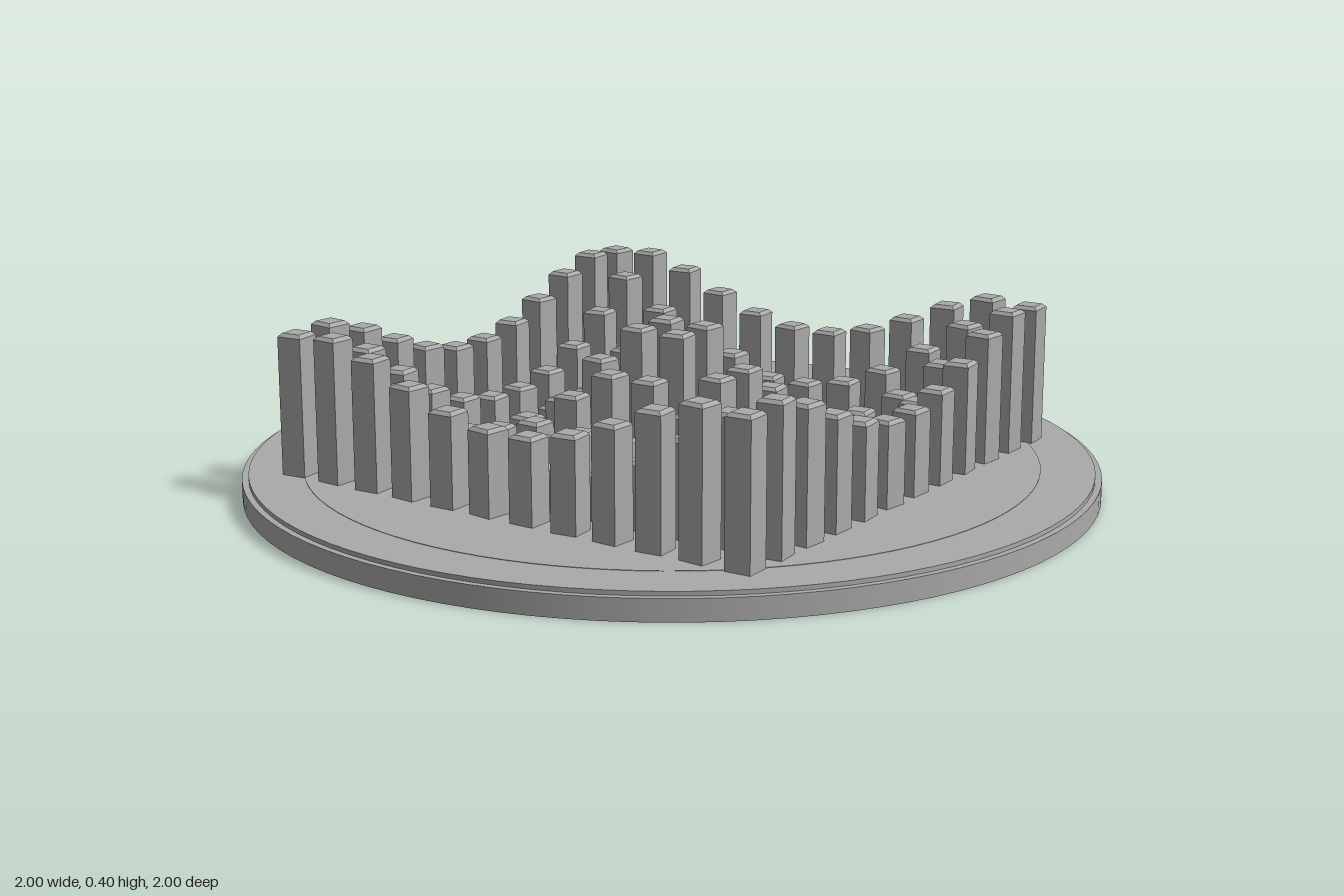
import * as THREE from 'three';

const COUNT = 12, SPACING = 0.111, WIDTH = 0.062, DECK = 0.06;

// Ripple spreading from the centre: pillar top height at radius r
const rippleHeight = (r) => 0.257 + 0.145 * Math.cos(7.7 * r);

export function createModel() {
  const group = new THREE.Group();
  const stone = new THREE.MeshStandardMaterial({ color: 0xaaaaaa });
  stone.name = 'grey stone';

  const add = (name, geometry, parent = group) => {
    const mesh = new THREE.Mesh(geometry, stone);
    mesh.name = name;
    parent.add(mesh);
    return mesh;
  };

  // Round base in stacked steps: plinth, deck and a barely raised inner disc
  const disc = (name, radius, bottom, top) => {
    add(name, new THREE.CylinderGeometry(radius, radius, top - bottom, 96)).position.y = (bottom + top) / 2;
  };
  disc('plinth', 1, 0, 0.05);
  disc('deck', 0.985, 0.05, DECK);
  disc('innerDisc', 0.86, DECK, DECK + 0.001);

  // Shared square shaft and chamfered cap, both with their bottom at y = 0
  const chamfer = 0.008;
  const shaft = new THREE.BoxGeometry(WIDTH, 1, WIDTH).translate(0, 0.5, 0);
  let cap = new THREE.CylinderGeometry((WIDTH / 2 - chamfer) * Math.SQRT2, WIDTH / Math.SQRT2, chamfer, 4, 1)
    .rotateY(Math.PI / 4).translate(0, chamfer / 2, 0).toNonIndexed();
  cap.computeVertexNormals();

  // Grid of slightly twisted pillars
  for (let i = 0; i < COUNT; i++) {
    for (let j = 0; j < COUNT; j++) {
      const x = (i - (COUNT - 1) / 2) * SPACING;
      const z = (j - (COUNT - 1) / 2) * SPACING;
      const shaftHeight = rippleHeight(Math.hypot(x, z)) - DECK - chamfer;
      const pillar = new THREE.Group();
      pillar.name = 'pillar';
      pillar.position.set(x, DECK, z);
      pillar.rotation.y = ((i * 3 + j * 5) % 7 - 3) * 0.04;
      add('pillarShaft', shaft, pillar).scale.y = shaftHeight;
      add('pillarCap', cap, pillar).position.y = shaftHeight;
      group.add(pillar);
    }
  }
  return group;
}
